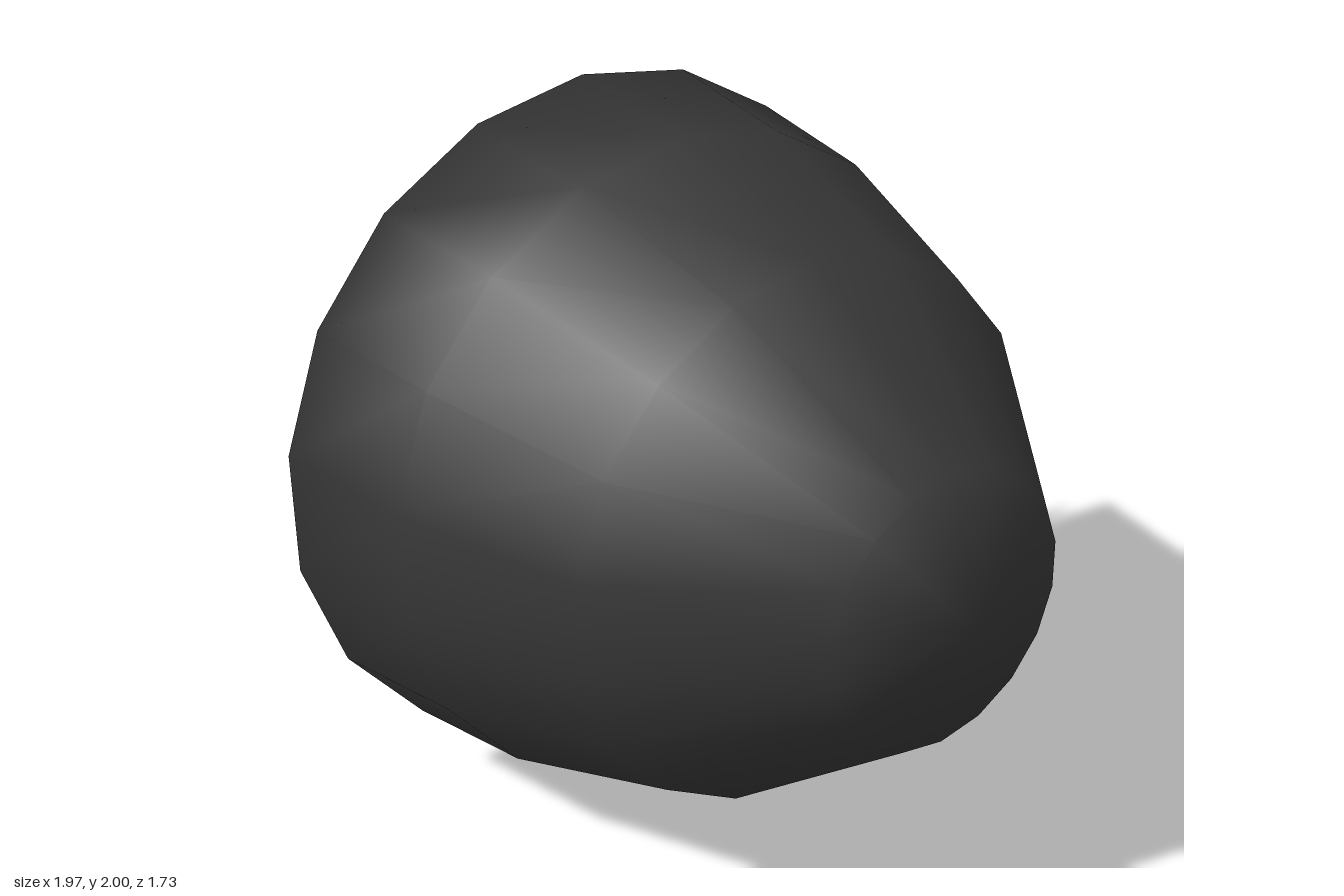
import * as THREE from 'three';
import { mergeVertices } from 'three/addons/utils/BufferGeometryUtils.js';

const paint = (name, color) => {
  const m = new THREE.MeshStandardMaterial({ color });
  m.name = name;
  return m;
};

// Smooth solid of revolution about z; profile points are [radius, z], back to front.
function turned(profile, sides) {
  const lathe = new THREE.LatheGeometry(profile.map(([r, z]) => new THREE.Vector2(r, z)), sides);
  lathe.deleteAttribute('normal');
  lathe.deleteAttribute('uv');
  lathe.rotateX(Math.PI / 2);
  const geometry = mergeVertices(lathe);
  geometry.computeVertexNormals();
  return geometry;
}

// Shallow lens with an elliptical outline, pointed at the rim.
function lens(name, material, rx, ry, h, x, y, z) {
  const geometry = turned([[0, -1], [0.3, -0.85], [1, 0], [0.3, 0.85], [0, 1]], 16);
  geometry.scale(rx, ry, h);
  geometry.computeVertexNormals();
  const mesh = new THREE.Mesh(geometry, material);
  mesh.name = name;
  mesh.position.set(x, y, z);
  return mesh;
}

export function createModel() {
  const model = new THREE.Group();
  model.name = 'eye';
  const shellDark = paint('shellDark', 0x383838);
  const cyan = paint('cyan', 0x33c4e0);
  const blue = paint('irisBlue', 0x3484b8);
  const navy = paint('pupilNavy', 0x10284f);
  const white = paint('highlightWhite', 0xe0e0e0);

  // Domed shell, closed by a flat face at the back
  const backZ = -0.71;
  const geometry = turned(
    [[0, backZ], [1, backZ], [0.942, -0.28], [0.767, 0.25], [0.383, 0.757], [0, 0.865]], 18);

  // Flat back triangles take the second material
  const pos = geometry.attributes.position, index = geometry.index.array;
  const shell = [], face = [];
  for (let i = 0; i < index.length; i += 3) {
    const tri = [index[i], index[i + 1], index[i + 2]];
    if (new Set(tri).size < 3) continue;
    (tri.every(v => pos.getZ(v) < backZ + 0.01) ? face : shell).push(...tri);
  }
  geometry.setIndex([...shell, ...face]);
  geometry.addGroup(0, shell.length, 0);
  geometry.addGroup(shell.length, face.length, 1);
  const body = new THREE.Mesh(geometry, [shellDark, cyan]);
  body.name = 'shellAndBackFace';
  body.position.y = 1;
  model.add(body);

  // Iris, pupil and glint stacked on the back face
  model.add(lens('iris', blue, 0.72, 0.835, 0.118, 0, 1.005, -0.714));
  model.add(lens('pupil', navy, 0.23, 0.25, 0.05, 0, 1.01, -0.815));
  model.add(lens('highlight', white, 0.16, 0.145, 0.026, 0.56, 1.495, -0.785));
  return model;
}
